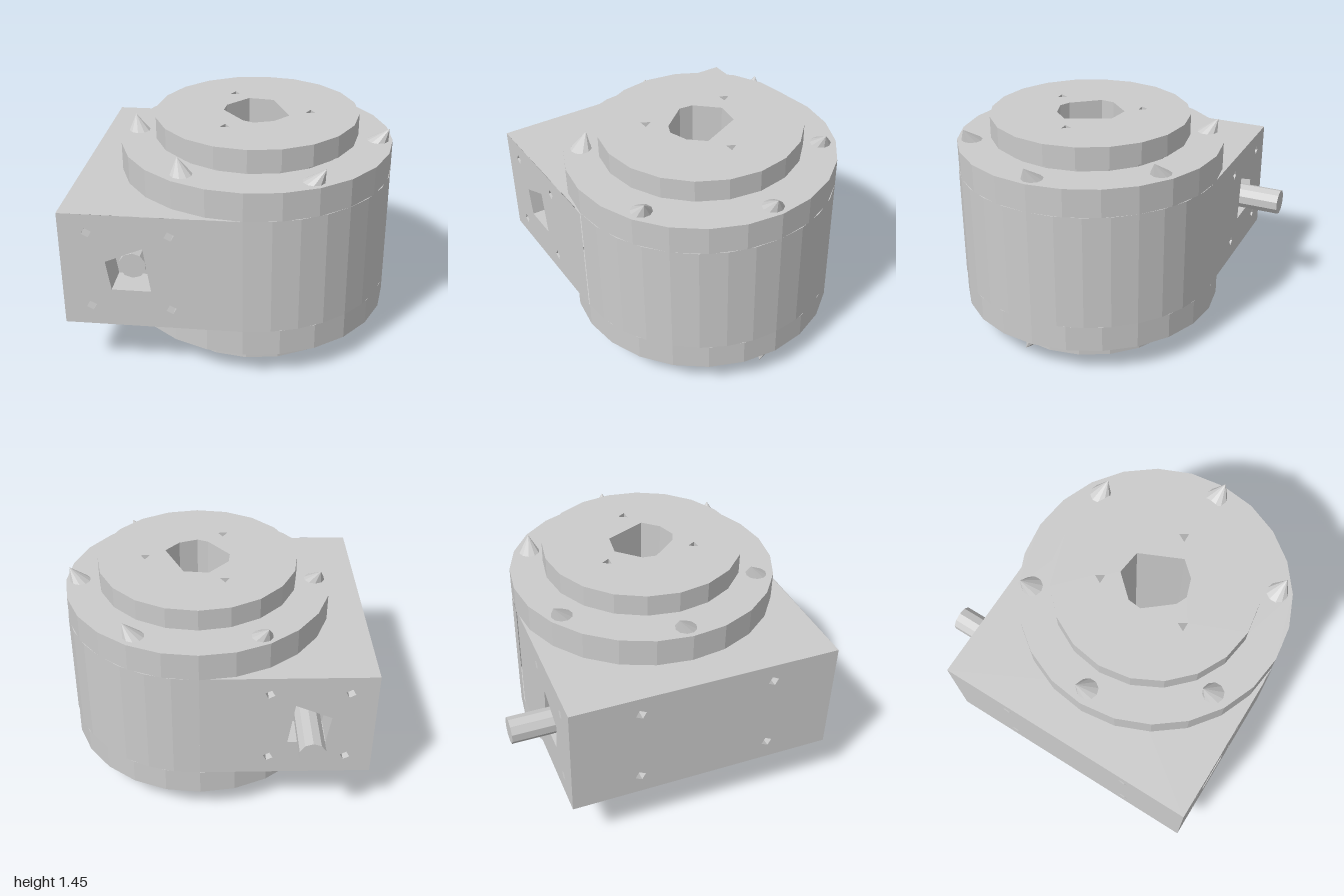
import * as THREE from 'three';

const CX = 0.11, CZ = 0.12, R = 0.865;          // drum axis and radius
const LEFT = -0.98, FRONT = 0.99, BACK = -0.74; // housing block
const Y0 = 0.35, Y1 = 1.10;
const V = (x, y) => new THREE.Vector2(x, y);

const solid = new THREE.MeshStandardMaterial({ color: 0xcccccc, flatShading: true });
const thin = new THREE.MeshStandardMaterial({ color: 0xcccccc, flatShading: true, side: THREE.DoubleSide });

function ngon(x, y, r, n, turn = 0) {
  return Array.from({ length: n }, (_, i) => {
    const a = turn + (i / n) * Math.PI * 2;
    return V(x + r * Math.cos(a), y + r * Math.sin(a));
  });
}

function shapeOf(points, holes = []) {
  const s = new THREE.Shape(points);
  s.holes = holes.map(h => new THREE.Path(h));
  return s;
}

// Open wall following a closed outline from z0 to z1
function wallGeometry(points, z0, z1) {
  const pos = [], idx = [], n = points.length;
  for (const p of points) pos.push(p.x, p.y, z0, p.x, p.y, z1);
  for (let i = 0; i < n; i++) {
    const a = 2 * i, b = 2 * ((i + 1) % n);
    idx.push(a, a + 1, b, b, a + 1, b + 1);
  }
  const g = new THREE.BufferGeometry();
  g.setAttribute('position', new THREE.Float32BufferAttribute(pos, 3));
  g.setIndex(idx);
  g.computeVertexNormals();
  return g;
}

export function createModel() {
  const model = new THREE.Group();
  const add = (parent, name, geo, mat = solid) => {
    const m = new THREE.Mesh(geo, mat);
    m.name = name;
    parent.add(m);
    return m;
  };
  // Horizontal plate: outline drawn in x and z, between two heights
  const plate = (name, r, sides, holes, y0, y1) => {
    const g = new THREE.ExtrudeGeometry(shapeOf(ngon(CX, CZ, r, sides), holes), { depth: y1 - y0, bevelEnabled: false });
    g.rotateX(Math.PI / 2).translate(0, y1, 0);
    return add(model, name, g);
  };

  // Housing: flat panels on three sides, rounded on the fourth
  const housing = new THREE.Group();
  housing.name = 'housing';
  model.add(housing);

  const window4 = [V(-0.68, 0.6), V(-0.44, 0.6), V(-0.48, 0.89), V(-0.71, 0.79)];
  const screwHoles = [];
  for (const x of [-0.81, -0.32]) for (const y of [0.48, 0.98]) screwHoles.push(ngon(x, y, 0.032, 4, 0.3));
  const face = shapeOf([V(LEFT, Y0), V(CX, Y0), V(CX, Y1), V(LEFT, Y1)], [window4, ...screwHoles]);
  for (const [name, z, inward] of [['front', FRONT, -0.2], ['back', BACK, 0.2]]) {
    add(housing, name + 'Panel', new THREE.ShapeGeometry(face).translate(0, 0, z), thin);
    add(housing, name + 'WindowWall', wallGeometry(window4, z, z + inward), thin);
    add(housing, name + 'WindowFloor', new THREE.ShapeGeometry(shapeOf(window4)).translate(0, 0, z + inward), thin);
  }
  for (const h of screwHoles) add(housing, 'screwHole', wallGeometry(h, BACK, FRONT), thin);

  // Side panel with four blind holes, drawn in z and y then turned to face -x
  const sideHoles = [];
  for (const z of [-0.30, 0.56]) for (const y of [0.48, 0.98]) sideHoles.push(ngon(z, y, 0.035, 4, 0.3));
  const side = shapeOf([V(BACK, Y0), V(FRONT, Y0), V(FRONT, Y1), V(BACK, Y1)], sideHoles);
  const toSide = g => g.rotateY(-Math.PI / 2).translate(LEFT, 0, 0);
  add(housing, 'sidePanel', toSide(new THREE.ShapeGeometry(side)), thin);
  for (const h of sideHoles) {
    add(housing, 'sideHole', toSide(wallGeometry(h, 0, -0.12)), thin);
    add(housing, 'sideHoleFloor', toSide(new THREE.ShapeGeometry(shapeOf(h)).translate(0, 0, -0.12)), thin);
  }

  const round = new THREE.CylinderGeometry(R, R, Y1 - Y0, 16, 1, true, 0, Math.PI);
  add(housing, 'roundedSide', round.translate(CX, (Y0 + Y1) / 2, CZ), thin);

  const capOutline = [V(LEFT, BACK), V(CX, BACK)];
  for (let i = 1; i <= 16; i++) {
    const a = -Math.PI / 2 + (i / 16) * Math.PI;
    capOutline.push(V(CX + R * Math.cos(a), CZ + R * Math.sin(a)));
  }
  capOutline.push(V(LEFT, FRONT));
  const cap = shapeOf(capOutline, [ngon(CX, CZ, 0.6, 20)]);
  for (const y of [Y0, Y1]) {
    add(housing, 'housingCap', new THREE.ShapeGeometry(cap).rotateX(Math.PI / 2).translate(0, y, 0), thin);
  }

  // Hubs and core share the centre bore and three small through holes
  const bore = [V(0.04, -0.09), V(0.20, -0.07), V(0.32, 0.20), V(0.23, 0.30),
    V(0.11, 0.34), V(0.04, 0.31), V(-0.10, 0.14), V(-0.09, 0.05)];
  const hubHoles = [bore];
  for (let i = 0; i < 3; i++) {
    const a = (i * Math.PI * 2) / 3;
    hubHoles.push(ngon(CX + 0.34 * Math.cos(a), CZ + 0.34 * Math.sin(a), 0.036, 3, a + 0.5));
  }
  plate('core', 0.39, 18, hubHoles, Y0, Y1);
  const ring = [ngon(CX, CZ, 0.6, 20)];
  plate('lowerHub', 0.647, 20, hubHoles, 0, 0.15);
  plate('lowerNeck', 0.605, 20, hubHoles, 0.15, Y0);
  plate('lowerFlange', R, 24, ring, 0.18, Y0);
  plate('upperFlange', R, 24, ring, Y1, 1.28);
  plate('upperNeck', 0.605, 20, hubHoles, Y1, 1.31);
  plate('upperHub', 0.647, 20, hubHoles, 1.31, 1.45);

  // Flange bolts: cones whose tips lean sideways
  const bolt = (name, x, y, z, up, leanX, leanZ) => {
    const g = new THREE.ConeGeometry(0.08, 0.1, 10);
    const p = g.attributes.position;
    for (let i = 0; i < p.count; i++) {
      if (p.getY(i) > 0) p.setXYZ(i, leanX, 0.05, up * leanZ);
    }
    if (up < 0) g.rotateX(Math.PI);
    add(model, name, g.translate(x, y + up * 0.035, z));
  };
  const lowerLean = [[0.05, 0.08], [-0.04, -0.07], [0.06, -0.07], [-0.08, 0.08], [0.06, 0.06], [-0.04, 0.06]];
  for (let i = 0; i < 6; i++) {
    const a = (i * Math.PI) / 3;
    const x = CX + 0.76 * Math.cos(a), z = CZ + 0.76 * Math.sin(a);
    const right = Math.cos(a) > 0;
    bolt('upperBolt', x, 1.28, z, 1, right ? 0.08 : -0.04, right ? 0.02 : -0.07);
    bolt('lowerBolt', x, 0.18, z, -1, ...lowerLean[i]);
  }

  // Drive shaft running front to back
  const shaft = new THREE.CylinderGeometry(0.084, 0.084, 1.91, 10);
  add(model, 'driveShaft', shaft.rotateX(Math.PI / 2).translate(-0.565, 0.725, -0.045));

  return model;
}
